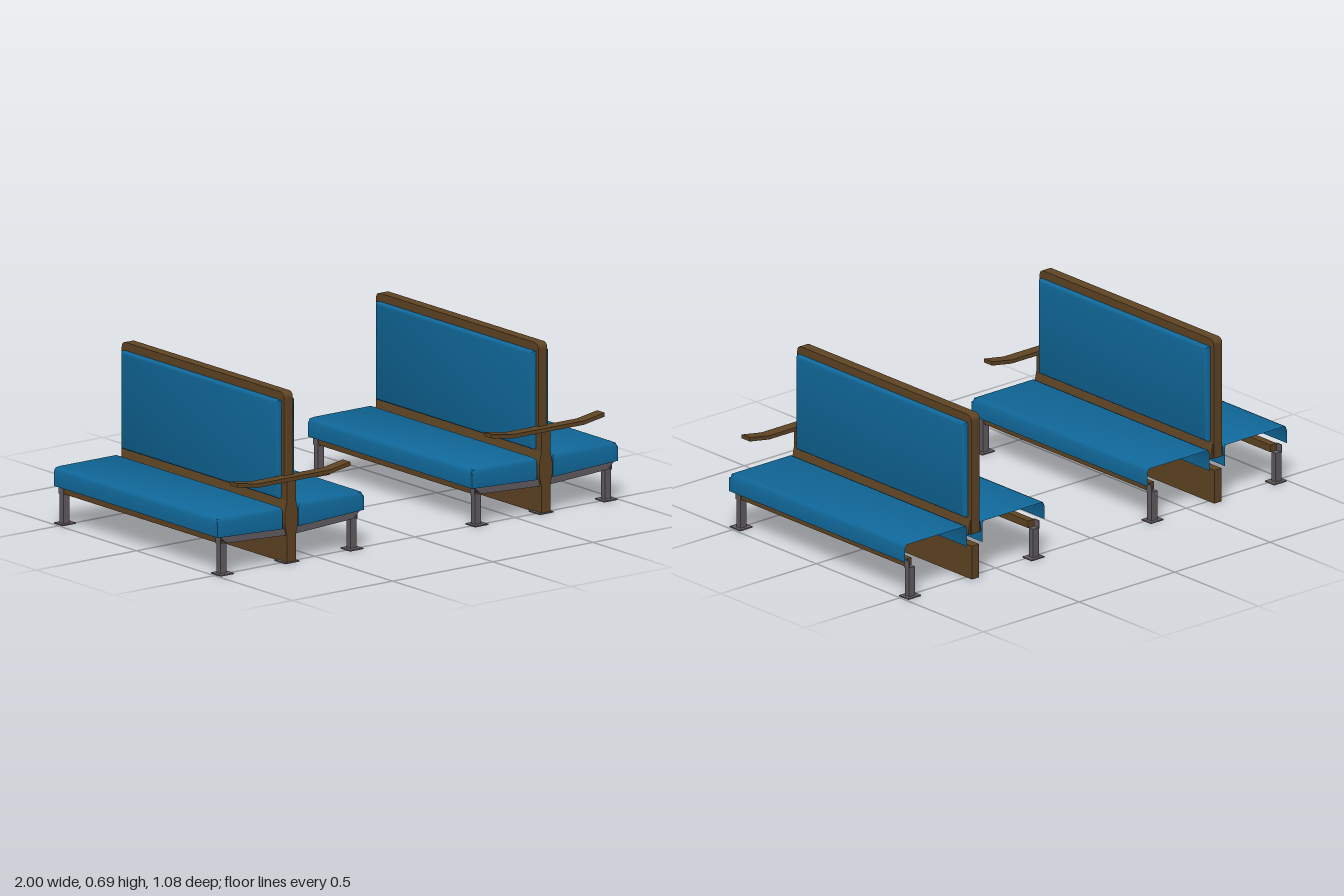
import * as THREE from 'three';
import { toCreasedNormals } from 'three/addons/utils/BufferGeometryUtils.js';

const paint = (name, color) => {
  const m = new THREE.MeshStandardMaterial({ color, side: THREE.DoubleSide });
  m.name = name;
  return m;
};

export function createModel() {
  const blue = paint('blue upholstery', 0x10689a);
  const wood = paint('brown wood', 0x604524);
  const metal = paint('grey metal', 0x625c60);

  const add = (parent, name, geometry, material) => {
    const mesh = new THREE.Mesh(geometry, material);
    mesh.name = name;
    parent.add(mesh);
    return mesh;
  };

  // Box given by its lower and upper corners
  const box = (x0, x1, y0, y1, z0, z1) =>
    new THREE.BoxGeometry(x1 - x0, y1 - y0, z1 - z0)
      .translate((x0 + x1) / 2, (y0 + y1) / 2, (z0 + z1) / 2);

  // Outline in x and y, extruded from z0 to z1
  const slab = (points, z0, z1) => {
    const shape = new THREE.Shape(points.map(p => new THREE.Vector2(...p)));
    return new THREE.ExtrudeGeometry(shape, { depth: z1 - z0, bevelEnabled: false }).translate(0, 0, z0);
  };

  // Surface through rows of equal point counts
  const loft = rows => {
    const n = rows[0].length, index = [];
    for (let r = 0; r < rows.length - 1; r++)
      for (let i = 0; i < n - 1; i++) {
        const a = r * n + i, b = a + n;
        index.push(a, b, a + 1, b, b + 1, a + 1);
      }
    const g = new THREE.BufferGeometry();
    g.setAttribute('position', new THREE.Float32BufferAttribute(rows.flat(2), 3));
    g.setIndex(index);
    return toCreasedNormals(g, 0.9);
  };

  // Seat shell: open below and at the back, softened along its top edges
  const seatGeometry = () => {
    const profile = [[0.04, 0.142], [0.04, 0.218], [0.046, 0.23], [0.062, 0.237],
      [0.342, 0.237], [0.357, 0.23], [0.365, 0.215], [0.365, 0.157]];
    const row = (z, cap) => profile.map(([x, y]) => [x, Math.min(y, cap), z]);
    const hem = profile.map(([x]) => [x, 0.142 + (x - 0.04) * 0.045, 0.52]);
    return loft([row(-0.53, 0.23), row(-0.518, 1), row(0.5, 1), row(0.513, 0.23), row(0.52, 0.215), hem]);
  };

  // Padded back panel: rectangular rings rising to a flat face
  const padGeometry = () => {
    const ring = (x, d) => [[-0.515 + d, 0.26 + d], [0.49 - d, 0.26 + d], [0.49 - d, 0.657 - d],
      [-0.515 + d, 0.657 - d], [-0.515 + d, 0.26 + d]].map(([z, y]) => [x, y, z]);
    const centre = ring(0, 0).map(() => [0.045, 0.458, -0.012]);
    return loft([ring(0.021, 0), ring(0.036, 0), ring(0.042, 0.004), ring(0.045, 0.012), centre]);
  };

  // Central board with rounded upper corners, shaped in z and y
  const boardGeometry = () => {
    const s = new THREE.Shape();
    s.moveTo(-0.505, 0.19);
    s.lineTo(0.535, 0.19);
    s.lineTo(0.535, 0.665);
    s.quadraticCurveTo(0.535, 0.69, 0.51, 0.69);
    s.lineTo(-0.48, 0.69);
    s.quadraticCurveTo(-0.505, 0.69, -0.505, 0.665);
    s.closePath();
    return new THREE.ExtrudeGeometry(s, { depth: 0.044, bevelEnabled: false, curveSegments: 6 })
      .translate(0, 0, -0.022).rotateY(Math.PI / 2);
  };

  const mirror = points => [...points, ...points.map(([x, y]) => [-x, y]).reverse()];

  const buildBench = () => {
    const bench = new THREE.Group();
    add(bench, 'backBoard', boardGeometry(), wood);
    add(bench, 'backSkirt', slab(mirror([[0.033, 0.19], [0.031, 0.21], [0.022, 0.255]]), -0.53, 0.5), wood);
    add(bench, 'plinth', box(-0.019, 0.019, 0, 0.14, -0.535, 0.5), wood);
    add(bench, 'frontPost', slab(mirror([[0.022, 0], [0.022, 0.115], [0.033, 0.16],
      [0.033, 0.2], [0.022, 0.255], [0.022, 0.35]]), 0.49, 0.525), wood);
    add(bench, 'postFoot', box(-0.035, 0.035, 0, 0.005, 0.46, 0.53), metal);

    // Armrest with upswept ends
    add(bench, 'armrest', slab([[-0.282, 0.353], [-0.18, 0.336], [0.18, 0.336], [0.282, 0.353],
      [0.282, 0.369], [0.18, 0.352], [-0.18, 0.352], [-0.282, 0.369]], 0.492, 0.54), wood);

    for (const side of [1, -1]) {
      const half = new THREE.Group();
      half.name = side > 0 ? 'leftSeat' : 'rightSeat';
      half.scale.x = side;
      bench.add(half);
      add(half, 'seatCushion', seatGeometry(), blue);
      add(half, 'backCushion', padGeometry(), blue);
      add(half, 'sideRail', box(0.305, 0.338, 0.125, 0.155, -0.5, 0.49), wood);
      add(half, 'frontBar', slab([[0.015, 0.112], [0.315, 0.127], [0.35, 0.156], [0.015, 0.141]], 0.485, 0.515), metal);

      // Legs with floor plates and outer brackets
      for (const z of [0.493, -0.513]) {
        add(half, 'leg', box(0.31, 0.34, 0, 0.126, z - 0.013, z + 0.013), metal);
        add(half, 'legBracket', box(0.338, 0.342, 0.122, 0.156, z - 0.015, z + 0.015), metal);
        add(half, 'footPlate', box(0.29, 0.356, 0, 0.005, z - 0.027, z + 0.035 * (z > 0 ? 1 : 0.8)), metal);
      }
    }
    return bench;
  };

  const model = new THREE.Group();
  for (const [name, x] of [['leftBench', 0.635], ['rightBench', -0.635]]) {
    const bench = buildBench();
    bench.name = name;
    bench.position.x = x;
    model.add(bench);
  }
  return model;
}
